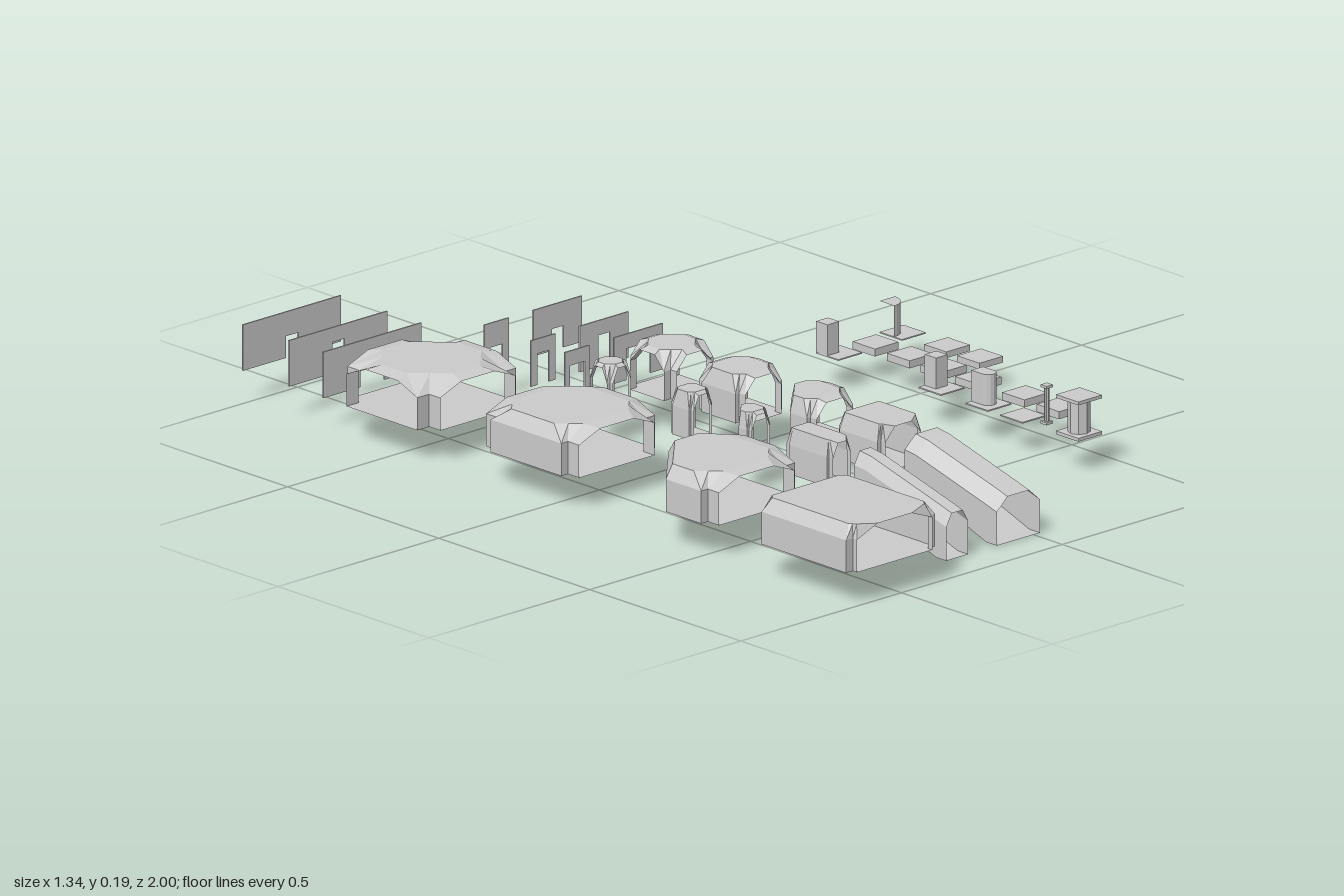
import * as THREE from 'three';

const FLOOR = 0.08, TOP = 0.19;
const mat = new THREE.MeshStandardMaterial({ color: 0xcccccc, flatShading: true, side: THREE.DoubleSide });

export function createModel() {
  const root = new THREE.Group();

  const add = (name, geo, x = 0, y = 0, z = 0) => {
    const m = new THREE.Mesh(geo, mat);
    m.name = name;
    m.position.set(x, y, z);
    root.add(m);
    return m;
  };
  const box = (name, x, y0, z, w, h, d) => add(name, new THREE.BoxGeometry(w, h, d), x, y0 + h / 2, z);

  // Collects triangles and quads into a flat-shaded geometry
  const builder = () => {
    const pos = [];
    const tri = (...p) => p.forEach(v => pos.push(v[0], v[1], v[2]));
    const quad = (a, b, c, d) => { tri(a, b, c); tri(a, c, d); };
    const done = () => {
      const g = new THREE.BufferGeometry();
      g.setAttribute('position', new THREE.Float32BufferAttribute(pos, 3));
      g.computeVertexNormals();
      return g;
    };
    return { tri, quad, done };
  };

  // Vaulted room: sides in order east, north, west, south.
  // dist = distance of each side, open = which sides are archways,
  // ax, az = half widths of the core, chamfer = top corner cut, cut = diagonal north-west corner
  function room(name, cx, cz, { dist, open, ax, az, chamfer = 0.35, eave = 0.158, cut = false }) {
    const U = [[1, 0], [0, -1], [-1, 0], [0, 1]];
    const ring = [];
    for (let k = 0; k < 4; k++) {
      const u = U[k], t = U[(k + 1) % 4], d = dist[k], d2 = dist[(k + 1) % 4];
      const au = k % 2 ? az : ax, at = k % 2 ? ax : az;
      const at2 = (p, q) => [u[0] * p + t[0] * q, u[1] * p + t[1] * q];
      let s = [-1, -0.45, 0.45, 1];
      if (cut && k === 1) s = [-1, -0.5, -0.25, 0];
      if (cut && k === 2) s = [0, 0.25, 0.5, 1];
      s.forEach((f, i) => {
        const inner = i === 1 || i === 2;
        const limit = Math.max(-chamfer, Math.min(chamfer, f < 0 ? -chamfer : chamfer));
        const topS = cut && (k === 1 || k === 2) && Math.abs(f) < 0.6 ? f * 0.7 : limit;
        ring.push({
          p: at2(d, f * at), q: at2(au, topS * at),
          y: open[k] && inner ? 0.183 : eave, skip: open[k] && i < 3,
        });
      });
      const c = (1 + chamfer) / 2, isCut = cut && k === 1;
      ring.push({
        p: isCut ? at2(d / 2, d2 / 2) : at2(au, at),
        q: isCut ? at2(au / 2, at / 2) : at2(au * c, at * c),
        y: eave, skip: false,
      });
    }
    const b = builder(), n = ring.length;
    for (let i = 0; i < n; i++) {
      const A = ring[i], B = ring[(i + 1) % n];
      const v = (p, y) => [p[0], y, p[1]];
      if (!A.skip) b.quad(v(A.p, FLOOR), v(B.p, FLOOR), v(B.p, B.y), v(A.p, A.y));
      b.quad(v(A.p, A.y), v(B.p, B.y), v(B.q, TOP), v(A.q, TOP));
      b.tri(v(A.q, TOP), v(B.q, TOP), [0, TOP, 0]);
      b.tri(v(B.p, FLOOR), v(A.p, FLOOR), [0, FLOOR, 0]);
    }
    add(name, b.done(), cx, 0, cz);
  }

  // Sloping passage, open at both ends
  function ramp(name, cx, w) {
    const stations = [[0.905, 0, 0.11], [0.87, 0, 0.12], [0.64, 0.08, 0.18], [0.6, 0.08, 0.185]];
    const rings = stations.map(([z, lo, hi]) => [
      [w, lo], [w, hi - 0.03], [w * 0.5, hi], [-w * 0.5, hi], [-w, hi - 0.03], [-w, lo],
    ].map(([x, y]) => [x, y, z]));
    const b = builder();
    for (let i = 0; i < rings.length - 1; i++)
      for (let j = 0; j < 6; j++) {
        const k = (j + 1) % 6;
        b.quad(rings[i][j], rings[i + 1][j], rings[i + 1][k], rings[i][k]);
      }
    add(name, b.done(), cx);
  }

  // Rooms of three sizes: crossing, T junction, corner and straight
  const X = [true, true, true, true], T = [true, true, false, true];
  const L = [true, false, false, true], I = [false, true, false, true];
  const sizes = [
    { label: 'large', x: -0.52, H: 0.154, d: 0.138, a: 0.117, eave: 0.158, z: [-0.535, -0.075, 0.388, 0.845], len: 0.154 },
    { label: 'medium', x: -0.047, H: 0.077, d: 0.067, a: 0.056, eave: 0.15, z: [-0.243, -0.016, 0.22, 0.447], len: 0.077 },
    { label: 'small', x: -0.237, H: 0.038, d: 0.034, a: 0.028, eave: 0.15, z: [-0.243, 0.025, 0.217, 0.447], len: 0.077 },
  ];
  for (const s of sizes) {
    const sides = o => o.map(f => (f ? s.H : s.d));
    const base = { ax: s.a, az: s.a, eave: s.eave };
    room(s.label + 'Crossing', s.x, s.z[0], { ...base, dist: sides(X), open: X });
    room(s.label + 'Junction', s.x, s.z[1], { ...base, dist: sides(T), open: T, chamfer: 0.6 });
    room(s.label + 'Corner', s.x, s.z[2], { ...base, dist: sides(L), open: L, chamfer: 0.6, cut: true });
    room(s.label + 'Straight', s.x, s.z[3], {
      ...base, az: s.len - 0.014, dist: [s.d, s.len, s.d, s.len], open: I, chamfer: 0.9,
    });
  }
  ramp('mediumRamp', -0.047, 0.067);
  ramp('smallRamp', -0.237, 0.034);

  // Wall panels with door notches: x, z, width, door width, door height
  const walls = [
    [-0.52, -0.998, 0.305, 0.038, 0.052], [-0.52, -0.845, 0.305, 0.038, 0.075], [-0.52, -0.732, 0.305, 0.075, 0.075],
    [-0.237, -0.622, 0.076, 0.037, 0.052], [-0.237, -0.468, 0.076, 0.037, 0.075], [-0.237, -0.355, 0.076, 0.047, 0.075],
    [-0.047, -0.622, 0.152, 0.037, 0.052], [-0.047, -0.468, 0.152, 0.037, 0.075], [-0.047, -0.355, 0.152, 0.075, 0.075],
  ];
  for (const [x, z, w, dw, dh] of walls) {
    const h = TOP - FLOOR;
    const s = new THREE.Shape([
      [-w / 2, 0], [-dw / 2, 0], [-dw / 2, dh], [dw / 2, dh], [dw / 2, 0], [w / 2, 0], [w / 2, h], [-w / 2, h],
    ].map(p => new THREE.Vector2(...p)));
    add('wallPanel', new THREE.ExtrudeGeometry(s, { depth: 0.004, bevelEnabled: false }), x, FLOOR, z - 0.002);
  }

  // Pillar with square base and cap
  const P = 0.074;
  box('pillarBase', 0.4, FLOOR, 0.63, P, 0.008, P);
  add('pillarShaft', new THREE.CylinderGeometry(0.026, 0.026, 0.08, 8), 0.4, 0.128, 0.63);
  box('pillarCap', 0.4, 0.167, 0.63, P, 0.008, P);

  // Slim post
  box('postBase', 0.4, FLOOR, 0.523, 0.02, 0.006, 0.02);
  add('postShaft', new THREE.CylinderGeometry(0.006, 0.006, 0.085, 8), 0.4, 0.127, 0.523);
  box('postCap', 0.4, 0.167, 0.523, 0.02, 0.006, 0.02);

  // Thin floor plates, four of them carrying a block
  for (const [x, z] of [[0.4, 0.445], [0.4, 0.33], [0.4, 0.175], [0.4, -0.165], [0.603, -0.17]])
    box('plate', x, FLOOR - 0.002, z, P, 0.003, P);
  const B = 0.075;
  box('roundBlock', 0.4, FLOOR, 0.311, 0.037, B, 0.037);
  add('roundBlockEnd', new THREE.CylinderGeometry(0.0185, 0.0185, B, 12), 0.4, FLOOR + B / 2, 0.33);
  box('endBlock', 0.4, FLOOR, 0.157, 0.037, B, 0.037);
  box('cornerBlock', 0.382, FLOOR, -0.183, 0.037, B, 0.037);
  add('quarterBlock', new THREE.CylinderGeometry(0.048, 0.048, B, 8, 1, false, 0, Math.PI / 2), 0.566, FLOOR + B / 2, -0.207);

  // Sunken floor tiles
  for (const z of [0.445, 0.33, 0.175, 0.06, -0.05, -0.165])
    box('floorTile', 0.514, 0.062, z, P, 0.018, P);
  for (const z of [0.06, -0.05]) {
    box('lowTile', 0.628, 0.06, z, P, 0.009, P);
    box('lowTileTop', 0.628, 0.069, z, P, 0.006, P);
  }
  return root;
}
